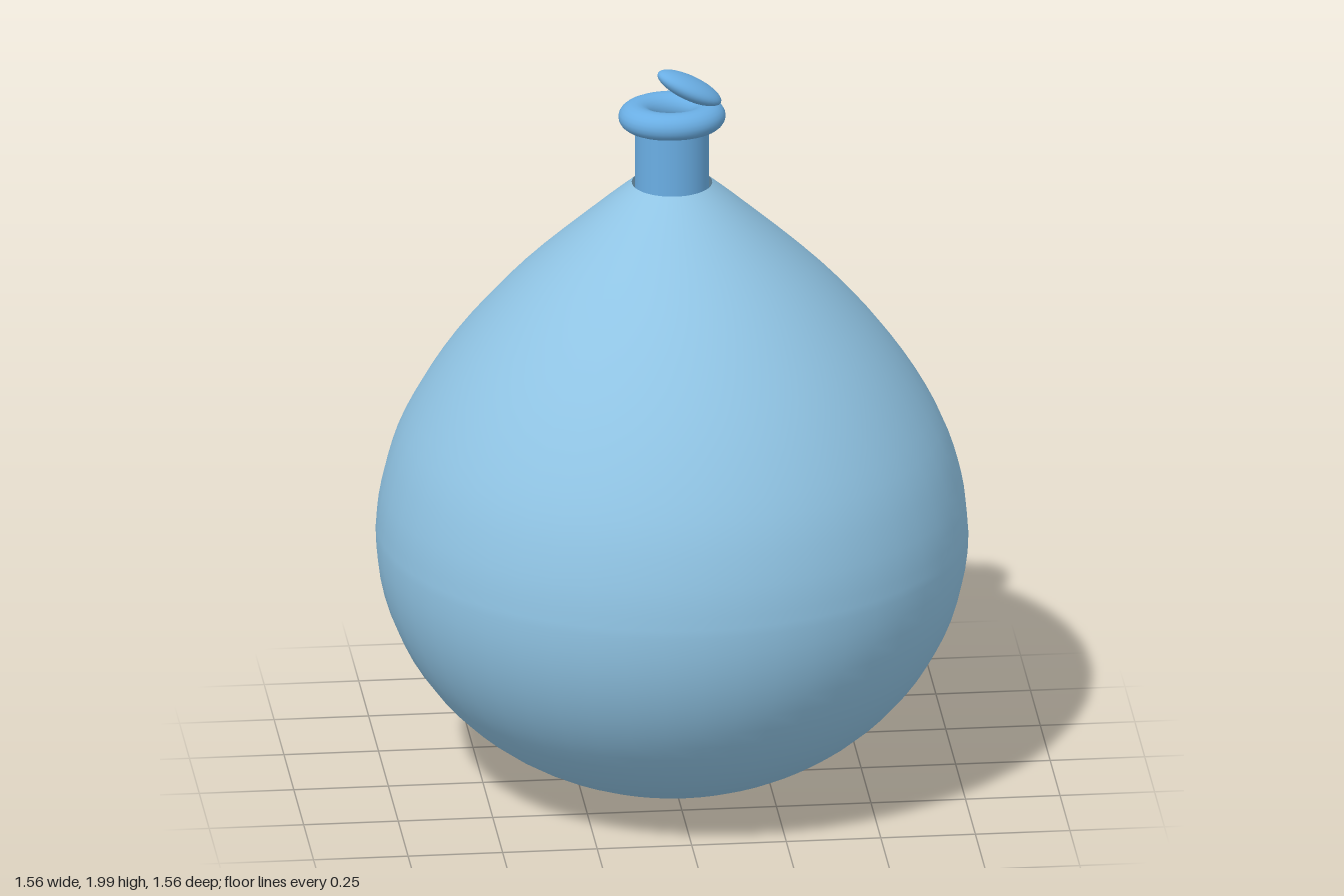
import * as THREE from 'three';

export function createModel() {
  const model = new THREE.Group();
  const skin = new THREE.MeshStandardMaterial({ name: 'paleBlueSkin', color: 0x90c4e4, side: THREE.DoubleSide });
  const knotBlue = new THREE.MeshStandardMaterial({ name: 'knotBlue', color: 0x6aaee4 });

  const add = (name, geometry, material, x = 0, y = 0) => {
    const mesh = new THREE.Mesh(geometry, material);
    mesh.name = name;
    mesh.position.set(x, y, 0);
    model.add(mesh);
    return mesh;
  };

  // Bulb profile: shallow bottom cone, elliptical belly, tapering shoulder
  const profile = [new THREE.Vector2(0, 0.005)];
  const bellySteps = 16;
  for (let i = 0; i < bellySteps; i++) {
    const a = THREE.MathUtils.degToRad(20 + (70 * i) / bellySteps);
    profile.push(new THREE.Vector2(0.78 * Math.sin(a), 0.7 - 0.695 * Math.cos(a)));
  }
  const shoulder = new THREE.SplineCurve([
    [0.78, 0.7], [0.765, 0.83], [0.71, 1.0], [0.59, 1.2], [0.42, 1.4], [0.21, 1.595], [0.106, 1.685],
  ].map(([r, y]) => new THREE.Vector2(r, y)));
  profile.push(...shoulder.getPoints(24));
  add('balloonBody', new THREE.LatheGeometry(profile, 48), skin);

  // Neck rising out of the open shoulder
  add('neck', new THREE.CylinderGeometry(0.098, 0.098, 0.25, 32), knotBlue, 0, 1.735);

  // Rolled ring, wider from side to side
  const ring = new THREE.TorusGeometry(0.079, 0.037, 20, 48);
  ring.rotateX(Math.PI / 2);
  ring.scale(1.22, 1, 1);
  add('knotRing', ring, knotBlue, 0, 1.872);

  // Flattened tail leaning over the ring
  const tail = new THREE.SphereGeometry(1, 32, 20);
  tail.scale(0.094, 0.03, 0.052);
  add('knotTail', tail, knotBlue, 0.046, 1.949).rotation.z = -0.48;

  return model;
}
